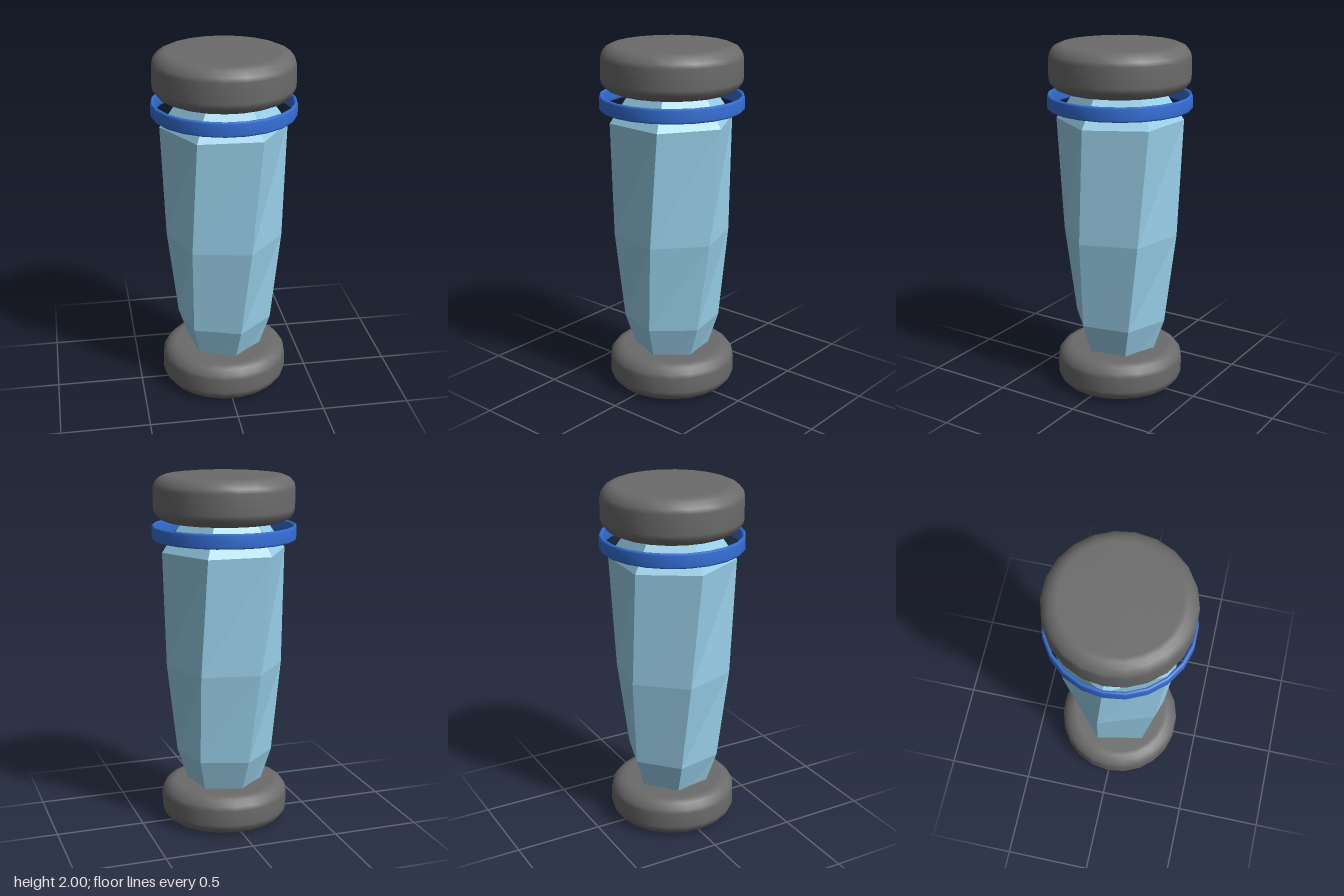
import * as THREE from 'three';

const SIDES = 22;

// Smooth round part from a profile of [radius, y] points, bottom to top
function turned(name, profile, color) {
  const geometry = new THREE.LatheGeometry(profile.map(([r, y]) => new THREE.Vector2(r, y)), SIDES);
  geometry.rotateY(Math.PI / 2);
  const mesh = new THREE.Mesh(geometry, new THREE.MeshStandardMaterial({ color }));
  mesh.name = name;
  return mesh;
}

// Flat disc with rounded rims
function cap(name, bottom, top, radius) {
  const profile = [
    [0, bottom], [radius - 0.085, bottom], [radius - 0.06, bottom + 0.003], [radius - 0.03, bottom + 0.016],
    [radius - 0.006, bottom + 0.045], [radius, bottom + 0.07],
    [radius, top - 0.07], [radius - 0.006, top - 0.045],
    [radius - 0.03, top - 0.016], [radius - 0.06, top - 0.003], [radius - 0.085, top], [0, top],
  ];
  return turned(name, profile, 0x6b6b6b);
}

// Six-sided twisted shaft through rings of [y, radius, twist in degrees]
function crystalShaft() {
  const rings = [
    [0.1, 0.173, 22], [0.4, 0.274, 18], [0.92, 0.331, 11], [1.58, 0.357, 2.5], [1.84, 0.18, 0],
  ];
  const positions = [];
  const index = [];
  rings.forEach(([y, r, twist]) => {
    for (let i = 0; i < 6; i++) {
      const a = THREE.MathUtils.degToRad(i * 60 + twist);
      positions.push(r * Math.cos(a), y, r * Math.sin(a));
    }
  });
  for (let k = 0; k < rings.length - 1; k++) {
    for (let i = 0; i < 6; i++) {
      const j = (i + 1) % 6;
      const a = k * 6 + i, b = k * 6 + j, c = a + 6, d = b + 6;
      index.push(a, c, b, b, c, d);
    }
  }
  // End faces
  const last = (rings.length - 1) * 6;
  for (let i = 1; i < 5; i++) {
    index.push(0, i, i + 1, last, last + i + 1, last + i);
  }
  const geometry = new THREE.BufferGeometry();
  geometry.setAttribute('position', new THREE.Float32BufferAttribute(positions, 3));
  geometry.setIndex(index);
  const flat = geometry.toNonIndexed();
  flat.computeVertexNormals();
  const mesh = new THREE.Mesh(flat, new THREE.MeshStandardMaterial({ color: 0x99d0ea, flatShading: true }));
  mesh.name = 'crystalShaft';
  return mesh;
}

export function createModel() {
  const group = new THREE.Group();
  group.name = 'crystalPillar';
  group.add(cap('baseCap', 0, 0.225, 0.365));
  group.add(crystalShaft());
  group.add(cap('topCap', 1.747, 2, 0.395));

  // Thin floating band below the top cap
  group.add(turned('floatingRing', [
    [0.385, 1.685], [0.385, 1.655], [0.389, 1.645], [0.4, 1.645], [0.405, 1.655],
    [0.405, 1.715], [0.4, 1.725], [0.389, 1.725], [0.385, 1.715], [0.385, 1.685],
  ], 0x3570d8));
  return group;
}
